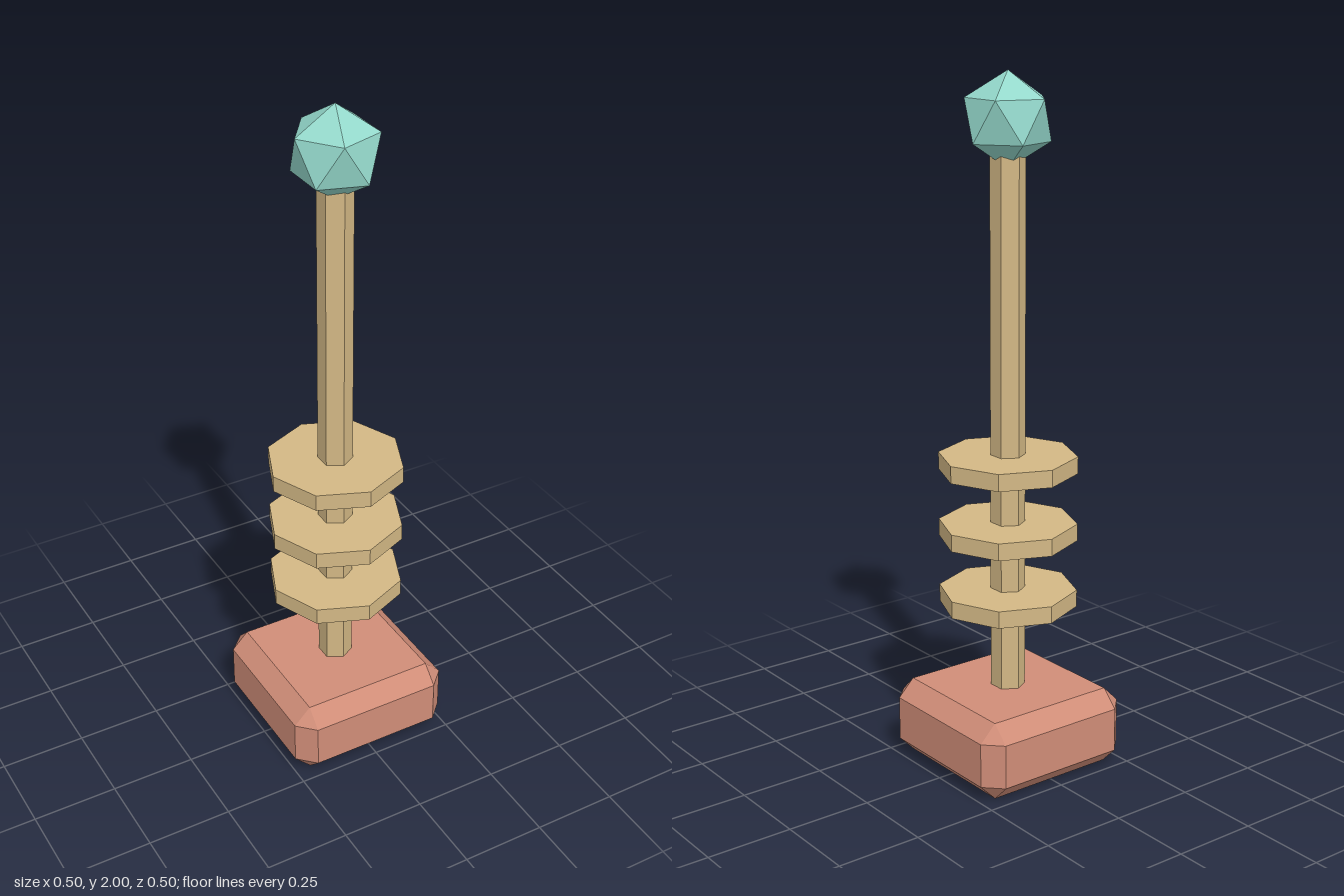
import * as THREE from 'three';
import { ConvexGeometry } from 'three/addons/geometries/ConvexGeometry.js';

const material = (name, color) => {
  const m = new THREE.MeshStandardMaterial({ color, flatShading: true });
  m.name = name;
  return m;
};

// Box with every edge and corner cut off by c
function chamferedBox(w, h, d, c) {
  const points = [];
  for (const sx of [-1, 1]) for (const sy of [-1, 1]) for (const sz of [-1, 1]) {
    for (let axis = 0; axis < 3; axis++) {
      const p = [w / 2, h / 2, d / 2].map((half, i) => (i === axis ? half : half - c));
      points.push(new THREE.Vector3(sx * p[0], sy * p[1], sz * p[2]));
    }
  }
  return new ConvexGeometry(points);
}

export function createModel() {
  const group = new THREE.Group();
  const clay = material('clay', 0xd08d78);
  const brass = material('brass', 0xd3b885);
  const mint = material('mint', 0x94d8cb);

  const add = (name, geometry, mat, y) => {
    const mesh = new THREE.Mesh(geometry, mat);
    mesh.name = name;
    mesh.position.y = y;
    group.add(mesh);
    return mesh;
  };

  // Chamfered foot
  add('base', chamferedBox(0.5, 0.23, 0.5, 0.05), clay, 0.115);

  // Hexagonal shaft, sunk into the base and the gem
  const bottom = 0.2, top = 1.8;
  add('shaft', new THREE.CylinderGeometry(0.05, 0.05, top - bottom, 6), brass, (top + bottom) / 2);

  // Three octagonal discs
  for (let i = 0; i < 3; i++) {
    add(`disc${i + 1}`, new THREE.CylinderGeometry(0.2, 0.2, 0.05, 8), brass, 0.505 + i * 0.2);
  }

  // Icosahedral gem, turned so one corner points straight up
  const radius = 0.132;
  const gem = add('gem', new THREE.IcosahedronGeometry(radius, 0), mint, 2 - radius);
  gem.rotation.z = Math.atan(2 / (1 + Math.sqrt(5)));

  return group;
}
